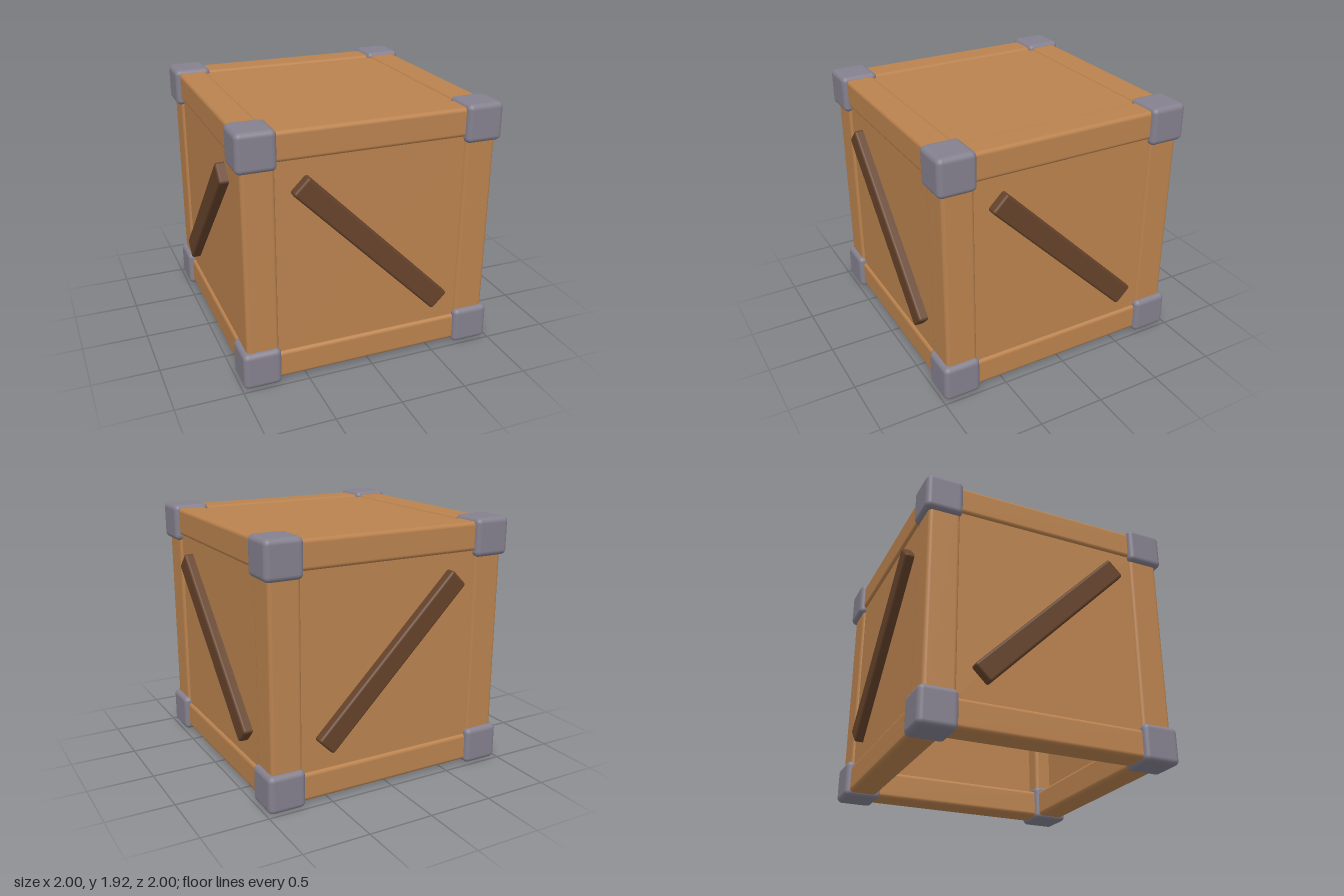
import * as THREE from 'three';
import { RoundedBoxGeometry } from 'three/addons/geometries/RoundedBoxGeometry.js';

const MID = 0.9625; // height of the crate's centre

function material(name, color) {
  const m = new THREE.MeshStandardMaterial({ color });
  m.name = name;
  return m;
}

export function createModel() {
  const wood = material('wood', 0xba824e);
  const darkWood = material('darkWood', 0x66432b);
  const metal = material('metal', 0x84808e);

  const crate = new THREE.Group();
  crate.name = 'crate';

  function add(name, geometry, mat, x, y, z) {
    const mesh = new THREE.Mesh(geometry, mat);
    mesh.name = name;
    mesh.position.set(x, y, z);
    crate.add(mesh);
    return mesh;
  }

  // Wall panels and lid; the underside stays open
  const wallX = new THREE.BoxGeometry(0.09, 1.7, 1.72);
  const wallZ = new THREE.BoxGeometry(1.72, 1.7, 0.09);
  for (const s of [-1, 1]) {
    add('sidePanel', wallX, wood, s * 0.885, MID, 0);
    add('endPanel', wallZ, wood, 0, MID, s * 0.885);
  }
  add('topPanel', new THREE.BoxGeometry(1.72, 0.09, 1.72), wood, 0, 1.838, 0);

  // Corner posts
  const post = new RoundedBoxGeometry(0.24, 1.55, 0.24, 3, 0.03);
  for (const x of [-1, 1]) for (const z of [-1, 1]) add('post', post, wood, x * 0.83, MID, z * 0.83);

  // Horizontal rails around the top and bottom
  const railX = new RoundedBoxGeometry(1.55, 0.215, 0.22, 3, 0.03);
  const railZ = new RoundedBoxGeometry(0.22, 0.215, 1.55, 3, 0.03);
  for (const y of [MID - 0.83, MID + 0.83]) {
    for (const s of [-1, 1]) {
      add('rail', railX, wood, 0, y, s * 0.84);
      add('rail', railZ, wood, s * 0.84, y, 0);
    }
  }

  // Metal corner blocks
  const block = new RoundedBoxGeometry(0.285, 0.285, 0.285, 4, 0.04);
  for (const x of [-1, 1]) for (const y of [-1, 1]) for (const z of [-1, 1]) {
    add('cornerBlock', block, metal, x * 0.8425, MID + y * 0.82, z * 0.8425);
  }

  // Diagonal brace on each of the four walls
  const braceX = new RoundedBoxGeometry(1.55, 0.165, 0.1, 3, 0.02);
  const braceZ = new RoundedBoxGeometry(0.1, 0.165, 1.55, 3, 0.02);
  for (const s of [-1, 1]) {
    add('brace', braceX, darkWood, 0, 0.97, s * 0.95).rotation.z = -Math.PI / 4;
    add('brace', braceZ, darkWood, s * 0.95, 0.97, 0).rotation.x = -Math.PI / 4;
  }

  return crate;
}
